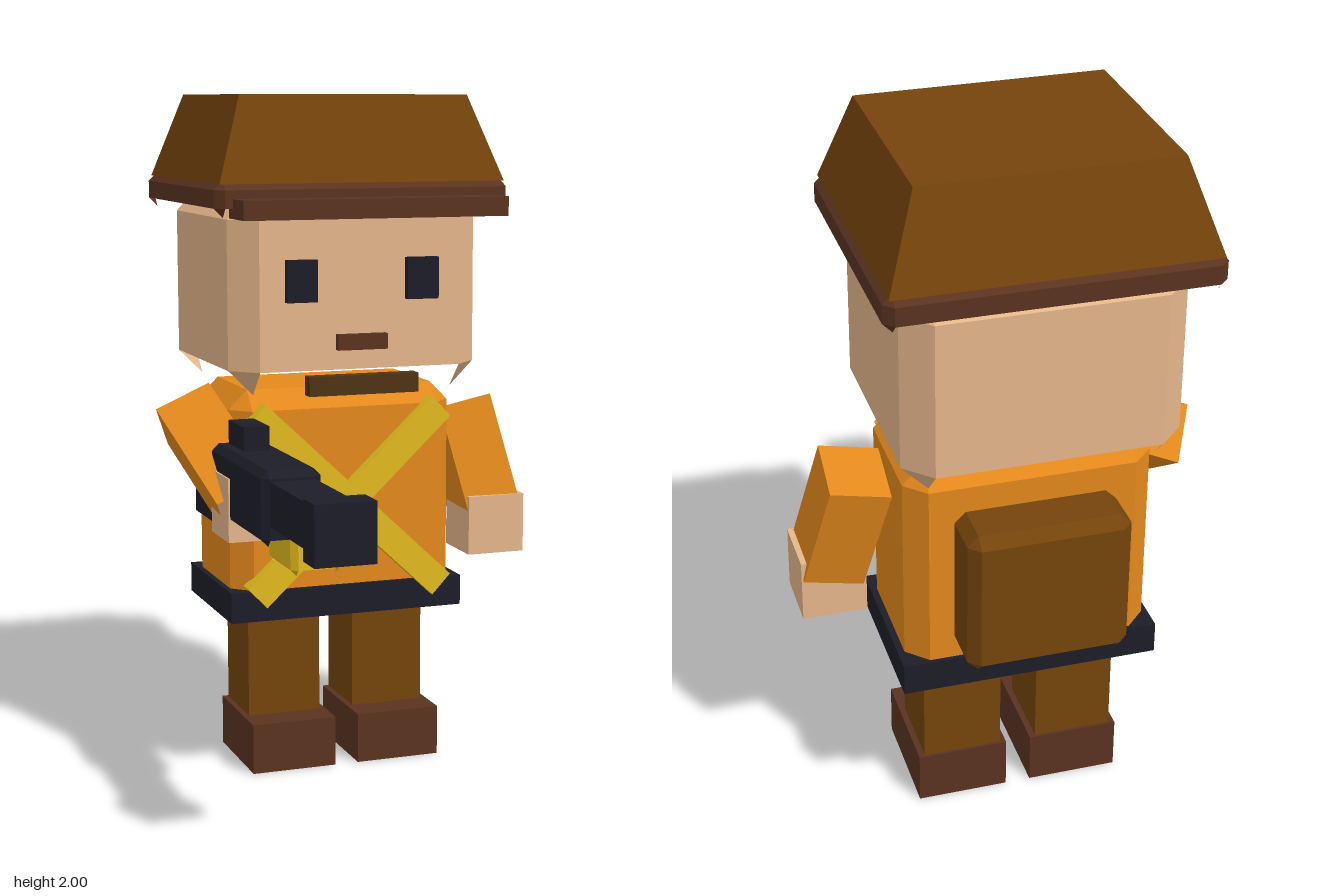
import * as THREE from 'three';

const mat = (name, color) =>
  Object.assign(new THREE.MeshStandardMaterial({ color, side: THREE.DoubleSide }), { name });
const M = {
  orange: mat('orange cloth', 0xe4891c),
  skin: mat('skin', 0xe6b78b),
  hat: mat('brown leather', 0x75440b),
  trim: mat('reddish brown', 0x5b3320),
  strap: mat('dark brown', 0x503316),
  dark: mat('dark metal', 0x1d1d28),
  yellow: mat('yellow canvas', 0xe3ba1e),
};

// Plain box without its underside
function openBox(size) {
  const g = new THREE.BoxGeometry(...size);
  const index = Array.from(g.index.array);
  g.setIndex([...index.slice(0, 18), ...index.slice(24)]);
  g.clearGroups();
  return g;
}

// Box with chamfered edges, open below: only the corner triangles reach down
function bevelBox(size, bevel) {
  const half = size.map((s) => s / 2);
  const point = (s, axis) =>
    new THREE.Vector3(...s.map((v, i) => v * (half[i] - (i === axis ? 0 : bevel))));
  const out = [];
  const polygon = (pts) => {
    const n = pts[1].clone().sub(pts[0]).cross(pts[2].clone().sub(pts[0]));
    const mid = pts.reduce((a, p) => a.add(p), new THREE.Vector3());
    const ordered = n.dot(mid) < 0 ? [...pts].reverse() : pts;
    for (let i = 1; i < ordered.length - 1; i++) {
      [ordered[0], ordered[i], ordered[i + 1]].forEach((p) => out.push(p.x, p.y, p.z));
    }
  };
  const signs = (a, sa, b, sb, c, sc) => {
    const s = [0, 0, 0];
    s[a] = sa; s[b] = sb; s[c] = sc;
    return s;
  };
  for (let a = 0; a < 3; a++) {
    const b = (a + 1) % 3, c = (a + 2) % 3;
    for (const p of [-1, 1]) {
      if (a === 1 && p < 0) continue;
      // flat side
      polygon([[-1, -1], [1, -1], [1, 1], [-1, 1]].map(([q, r]) => point(signs(a, p, b, q, c, r), a)));
      // chamfer strips between sides a and b
      for (const q of [-1, 1]) {
        if (b === 1 && q < 0) continue;
        const s0 = signs(a, p, b, q, c, -1), s1 = signs(a, p, b, q, c, 1);
        polygon([point(s0, a), point(s1, a), point(s1, b), point(s0, b)]);
      }
    }
  }
  // corner triangles
  for (const x of [-1, 1]) for (const y of [-1, 1]) for (const z of [-1, 1]) {
    polygon([0, 1, 2].map((axis) => point([x, y, z], axis)));
  }
  const g = new THREE.BufferGeometry();
  g.setAttribute('position', new THREE.Float32BufferAttribute(out, 3));
  g.computeVertexNormals();
  return g;
}

export function createModel() {
  const model = new THREE.Group();
  model.name = 'explorer';

  const add = (name, geometry, material) => {
    const mesh = new THREE.Mesh(geometry, material);
    mesh.name = name;
    model.add(mesh);
    return mesh;
  };
  // Box given by its extents on each axis, chamfered if bevel is set
  const block = (name, material, [x0, x1], [y0, y1], [z0, z1], bevel = 0) => {
    const size = [x1 - x0, y1 - y0, z1 - z0];
    const mesh = add(name, bevel ? bevelBox(size, bevel) : openBox(size), material);
    mesh.position.set((x0 + x1) / 2, (y0 + y1) / 2, (z0 + z1) / 2);
    return mesh;
  };
  // Tilted box from one top corner, two cross edges and the edge running down
  const tilted = (name, material, corner, across, down, back) => {
    const [c, a, b, d] = [corner, across, down, back].map((p) => new THREE.Vector3(...p));
    const size = [a.length(), b.length(), d.length()];
    const centre = c.add(a.clone().add(b).add(d).multiplyScalar(0.5));
    const y = b.clone().normalize().negate();
    const x = a.addScaledVector(y, -a.dot(y)).normalize();
    const z = x.clone().cross(y);
    const mesh = add(name, openBox(size), material);
    mesh.quaternion.setFromRotationMatrix(new THREE.Matrix4().makeBasis(x, y, z));
    mesh.position.copy(centre);
  };

  // Legs and boots
  for (const [side, x] of [['right', -0.194], ['left', 0.136]]) {
    block(side + 'Leg', M.hat, [x - 0.112, x + 0.112], [0.15, 0.455], [-0.495, -0.272]);
    block(side + 'Boot', M.trim, [x - 0.129, x + 0.129], [0, 0.15], [-0.503, -0.172]);
  }

  // Torso, belt and backpack
  block('torso', M.orange, [-0.373, 0.313], [0.46, 1.15], [-0.595, -0.17], 0.057);
  block('belt', M.dark, [-0.39, 0.332], [0.47, 0.56], [-0.607, -0.157]);
  block('backpack', M.hat, [-0.25, 0.195], [0.62, 1.04], [-0.775, -0.595], 0.03);

  // Crossed chest straps and ammunition pouch
  for (const s of [-1, 1]) {
    const strap = add('chestStrap', new THREE.BoxGeometry(0.79, 0.083, 0.055), M.yellow);
    strap.position.set(-0.028, 0.815, -0.159 - s * 0.002);
    strap.rotation.z = s * 0.756;
  }
  block('pouch', M.yellow, [-0.285, -0.135], [0.657, 0.865], [-0.135, 0.1], 0.018);

  // Arms and hands
  tilted('rightArm', M.orange, [-0.563, 1.09, -0.34], [0.16, 0.07, 0.01], [0.09, -0.23, 0.33], [0.063, -0.12, -0.1]);
  tilted('leftArm', M.orange, [0.478, 1.095, -0.28], [-0.165, -0.04, 0], [0.066, -0.315, 0.076], [0.01, -0.04, -0.187]);
  block('rightHand', M.skin, [-0.452, -0.275], [0.757, 0.94], [-0.135, 0.04]);
  block('leftHand', M.skin, [0.378, 0.559], [0.61, 0.79], [-0.383, -0.2]);

  // Gun
  block('gunBody', M.dark, [-0.447, -0.279], [0.805, 1.012], [-0.16, 0.355], 0.02);
  block('gunStock', M.dark, [-0.43, -0.296], [0.77, 0.975], [-0.39, -0.13]);
  block('gunBarrel', M.dark, [-0.427, -0.3], [0.863, 0.985], [0.34, 0.7]);
  block('gunMuzzle', M.dark, [-0.445, -0.28], [0.842, 1.003], [0.69, 0.78]);
  block('gunSight', M.dark, [-0.4, -0.325], [1, 1.08], [-0.13, 0.025]);

  // Head and face
  block('head', M.skin, [-0.405, 0.346], [1.15, 1.725], [-0.73, -0.037], 0.073);
  block('rightEye', M.dark, [-0.257, -0.167], [1.42, 1.54], [-0.04, -0.013]);
  block('leftEye', M.dark, [0.105, 0.2], [1.42, 1.54], [-0.04, -0.013]);
  block('mouth', M.trim, [-0.106, 0.044], [1.28, 1.325], [-0.04, -0.013]);
  block('chinStrap', M.strap, [-0.195, 0.136], [1.152, 1.208], [-0.05, -0.007]);

  // Hat: brim, visor and tapered crown
  block('hatBrim', M.trim, [-0.468, 0.408], [1.662, 1.765], [-0.778, 0.01], 0.026);
  block('hatVisor', M.trim, [-0.42, 0.362], [1.66, 1.715], [-0.03, 0.112]);
  const crown = block('hatCrown', M.hat, [-0.455, 0.395], [1.755, 2], [-0.77, 0]);
  const p = crown.geometry.attributes.position;
  for (let i = 0; i < p.count; i++) {
    if (p.getY(i) > 0) {
      p.setX(i, Math.sign(p.getX(i)) * 0.342);
      p.setZ(i, Math.sign(p.getZ(i)) * 0.302);
    }
  }
  crown.geometry = crown.geometry.toNonIndexed();
  crown.geometry.computeVertexNormals();

  return model;
}
